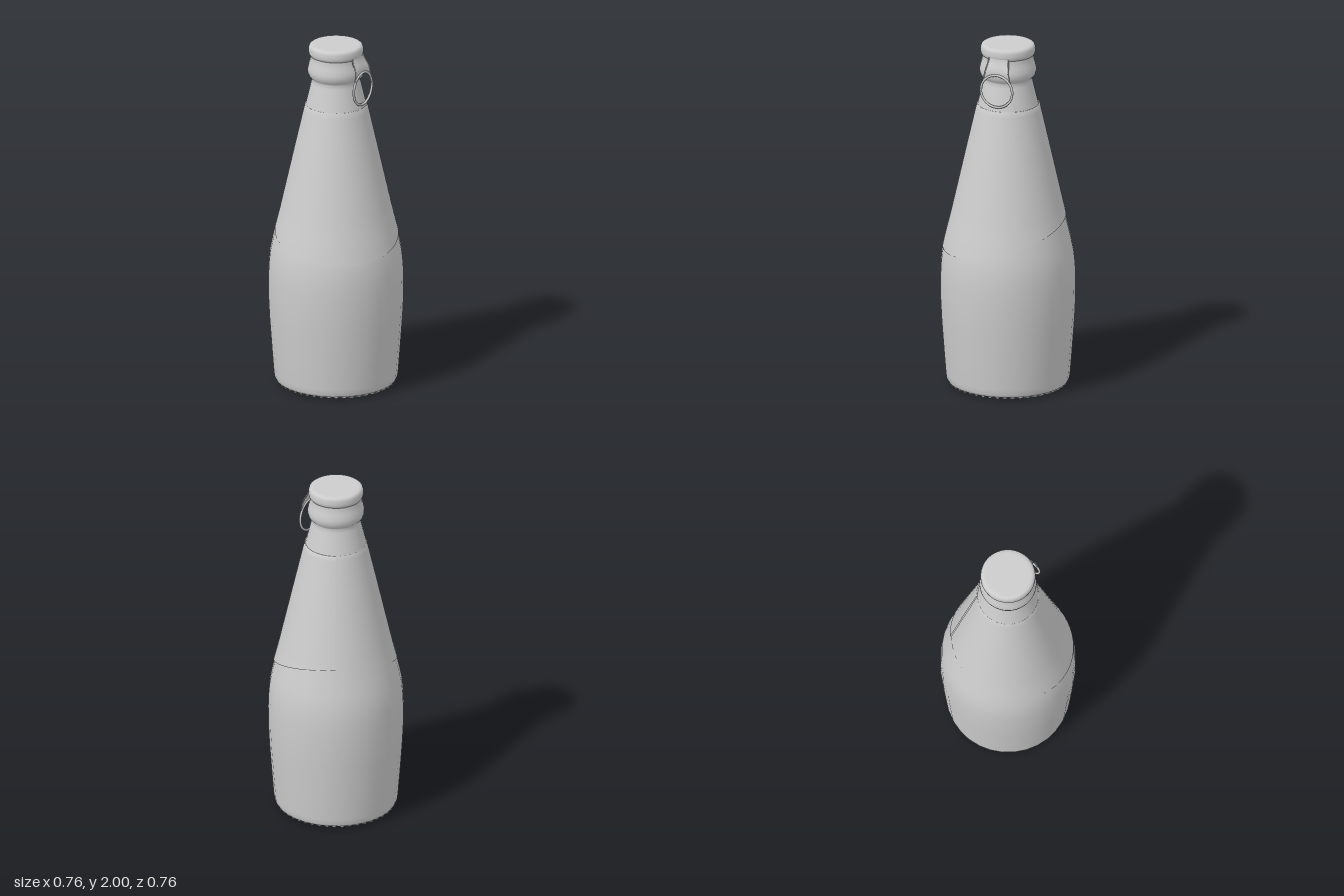
import * as THREE from 'three';
import { mergeGeometries } from 'three/addons/utils/BufferGeometryUtils.js';
import { ParametricGeometry } from 'three/addons/geometries/ParametricGeometry.js';

const SIDES = 32;
const toPoints = (list) => list.map(([r, y]) => new THREE.Vector2(r, y));

// bottle wall as [radius, height], from the heel to the neck
const wall = [
  [0.345, 0.03], [0.349, 0.06], [0.36, 0.2], [0.373, 0.38], [0.379, 0.5], [0.38, 0.62], [0.377, 0.7],
  [0.37, 0.77], [0.358, 0.83], [0.342, 0.9], [0.317, 1.0], [0.272, 1.2], [0.227, 1.4], [0.17, 1.65],
  [0.14, 1.775], [0.137, 1.797], [0.143, 1.807], [0.154, 1.82], [0.159, 1.84], [0.159, 1.86],
  [0.153, 1.885], [0.147, 1.905], [0.144, 1.925], [0.143, 1.95],
];

function radiusAt(y) {
  const i = Math.max(1, wall.findIndex((p) => p[1] >= y));
  const [r0, y0] = wall[i - 1];
  const [r1, y1] = wall[i];
  return r0 + ((r1 - r0) * (y - y0)) / (y1 - y0);
}

// wrap-around label with a slanted lower edge, slightly spiralling to an overlap at the back
function labelGeometry() {
  const rows = 24;
  const start = THREE.MathUtils.degToRad(175.5);
  const blank = Array.from({ length: rows + 2 }, (_, j) => new THREE.Vector2(0.3, j));
  const geo = new THREE.LatheGeometry(blank, SIDES * 2);
  const pos = geo.attributes.position;
  for (let k = 0; k < pos.count; k++) {
    const turn = Math.floor(k / (rows + 2)) / (SIDES * 2);
    const j = k % (rows + 2);
    const phi = start + turn * Math.PI * 2;
    const low = 0.9 - 0.1 * Math.cos(phi);
    const y = THREE.MathUtils.lerp(low, 1.645, Math.min(j, rows) / rows);
    // the last row folds in to the glass as the upper lip
    const r = radiusAt(y) + (j > rows ? -0.003 : 0.002 + 0.006 * turn * turn);
    pos.setXYZ(k, r * Math.sin(phi), y, r * Math.cos(phi));
  }
  geo.computeVertexNormals();
  return geo;
}

// slanted ridges around the foot
function ridgeGeometry() {
  const ridges = [];
  const count = 48;
  for (let i = 0; i < count; i++) {
    const g = new THREE.SphereGeometry(1, 8, 6);
    g.scale(0.034, 0.012, 0.011);
    g.rotateY(0.7);
    g.translate(0.312, 0.012, 0);
    g.rotateY((i / count) * Math.PI * 2);
    ridges.push(g);
  }
  return mergeGeometries(ridges);
}

export function createModel() {
  const group = new THREE.Group();
  const grey = new THREE.MeshStandardMaterial({ color: 0xcccccc, side: THREE.DoubleSide });
  grey.name = 'plain grey';

  const add = (name, geometry, parent = group) => {
    const mesh = new THREE.Mesh(geometry, grey);
    mesh.name = name;
    parent.add(mesh);
    return mesh;
  };

  // glass
  add('bottle', new THREE.LatheGeometry(toPoints([[0.285, 0.013], [0.3, 0.01], [0.325, 0.01], [0.338, 0.016], ...wall]), SIDES));
  add('base', new THREE.LatheGeometry(toPoints([[0, 0.02], [0.27, 0.018], [0.286, 0.013]]), SIDES));
  add('footRidges', ridgeGeometry());
  add('neckLabel', labelGeometry());

  // cap
  add('cap', new THREE.LatheGeometry(toPoints([
    [0.14, 1.936], [0.147, 1.938], [0.152, 1.947], [0.154, 1.96], [0.153, 1.98], [0.149, 1.992],
    [0.141, 1.998], [0.13, 2], [0.12, 2], [0, 2],
  ]), SIDES * 2));

  // pull ring: a flaring tab from the cap down to a hoop
  const pull = new THREE.Group();
  pull.name = 'pullRing';
  pull.rotation.y = THREE.MathUtils.degToRad(51);
  group.add(pull);
  const ringY = 1.768, ringR = 0.094, ringZ = 0.178;

  const tabPoint = (u, v, target) => {
    const s = u * 2 - 1;
    const angle = Math.PI / 2 - s * 1.7;
    const x = THREE.MathUtils.lerp(s * 0.056, Math.cos(angle) * ringR, v);
    const y = THREE.MathUtils.lerp(1.95, ringY + Math.sin(angle) * ringR, v);
    const lean = THREE.MathUtils.smoothstep(y, 1.87, 1.955);
    target.set(x, y, ringZ - lean * (0.023 + (x * x) / 0.32));
  };
  add('pullTab', new ParametricGeometry(tabPoint, 20, 10), pull);

  // thin rolled edges of the tab
  for (const u of [0, 1]) {
    const path = Array.from({ length: 8 }, (_, i) => {
      const p = new THREE.Vector3();
      tabPoint(u, i / 7, p);
      return p;
    });
    add('tabEdge', new THREE.TubeGeometry(new THREE.CatmullRomCurve3(path), 14, 0.004, 6), pull);
  }

  const hoop = add('hoop', new THREE.TorusGeometry(ringR, 0.007, 8, 40), pull);
  hoop.position.set(0, ringY, ringZ);

  return group;
}
